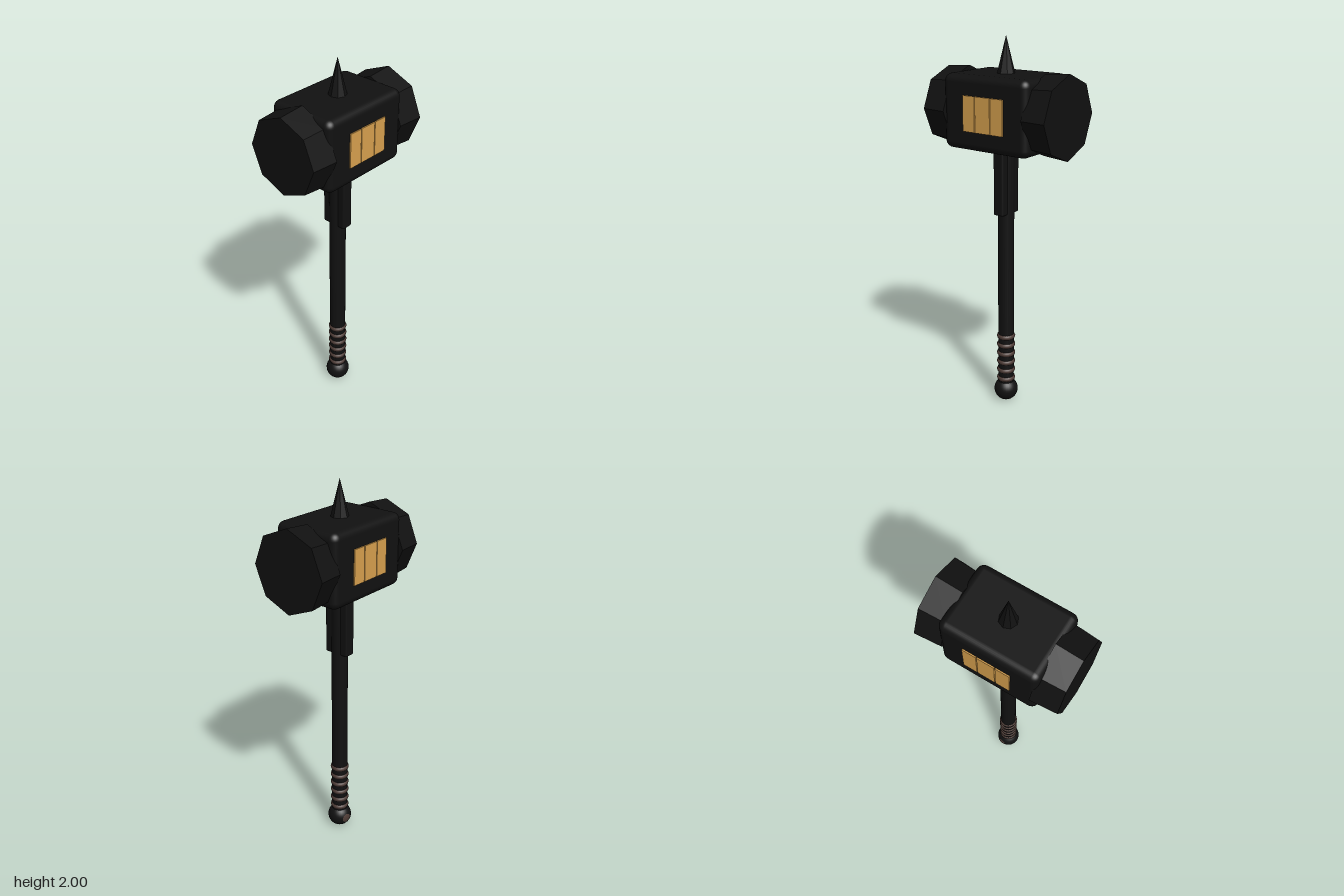
import * as THREE from 'three';
import { RoundedBoxGeometry } from 'three/addons/geometries/RoundedBoxGeometry.js';

const material = (name, color) => {
  const m = new THREE.MeshStandardMaterial({ color });
  m.name = name;
  return m;
};

// Faceted normals for the low-poly parts
const faceted = (geometry) => {
  const g = geometry.toNonIndexed();
  g.computeVertexNormals();
  return g;
};

export function createModel() {
  const black = material('blackIron', 0x111111);
  const gold = material('gold', 0xd9a24f);
  const brown = material('brownLeather', 0x4e3c36);

  const group = new THREE.Group();
  group.name = 'warHammer';
  const add = (name, geometry, mat, x = 0, y = 0, z = 0) => {
    const mesh = new THREE.Mesh(geometry, mat);
    mesh.name = name;
    mesh.position.set(x, y, z);
    group.add(mesh);
    return mesh;
  };

  const headY = 1.628;

  // Head block with softened edges
  add('headBlock', new RoundedBoxGeometry(0.374, 0.375, 0.515, 4, 0.038), black, 0, headY, 0);

  // Octagonal striking faces, both flaring towards the back
  const face = faceted(new THREE.CylinderGeometry(0.2, 0.211, 0.14, 8).rotateX(Math.PI / 2));
  add('frontStrikingFace', face, black, 0, headY, 0.305);
  add('backStrikingFace', face, black, 0, headY, -0.305);

  // Spike on top
  add('topSpike', faceted(new THREE.ConeGeometry(0.047, 0.19, 8)), black, 0, 1.905, 0);

  // Three gold inlay plates on each side
  for (const side of [1, -1]) {
    for (const [z, width] of [[-0.086, 0.073], [0, 0.09], [0.086, 0.073]]) {
      add('goldInlay', new THREE.BoxGeometry(0.009, 0.178, width), gold, side * 0.1892, headY, z);
    }
  }

  // Handle and the flat socket under the head
  add('handle', new THREE.CylinderGeometry(0.043, 0.043, 1.38, 24), black, 0, 0.78, 0);
  add('socket', new RoundedBoxGeometry(0.14, 0.38, 0.062, 3, 0.01), black, 0, 1.28, 0);

  // Leather grip rings
  const ring = new THREE.TorusGeometry(0.035, 0.0155, 10, 28).rotateX(Math.PI / 2);
  for (let i = 0; i < 6; i++) add('gripRing', ring, brown, 0, 0.136 + i * 0.0508, 0);

  // Pommel ball with a small leather patch on its right side
  add('pommel', new THREE.SphereGeometry(0.065, 28, 20), black, 0, 0.065, 0);
  const patch = new THREE.SphereGeometry(0.0658, 20, 6, 0, Math.PI * 2, 0, 0.4).rotateZ(Math.PI / 2);
  add('pommelPatch', patch.rotateY(-0.2), brown, 0, 0.065, 0);

  return group;
}
